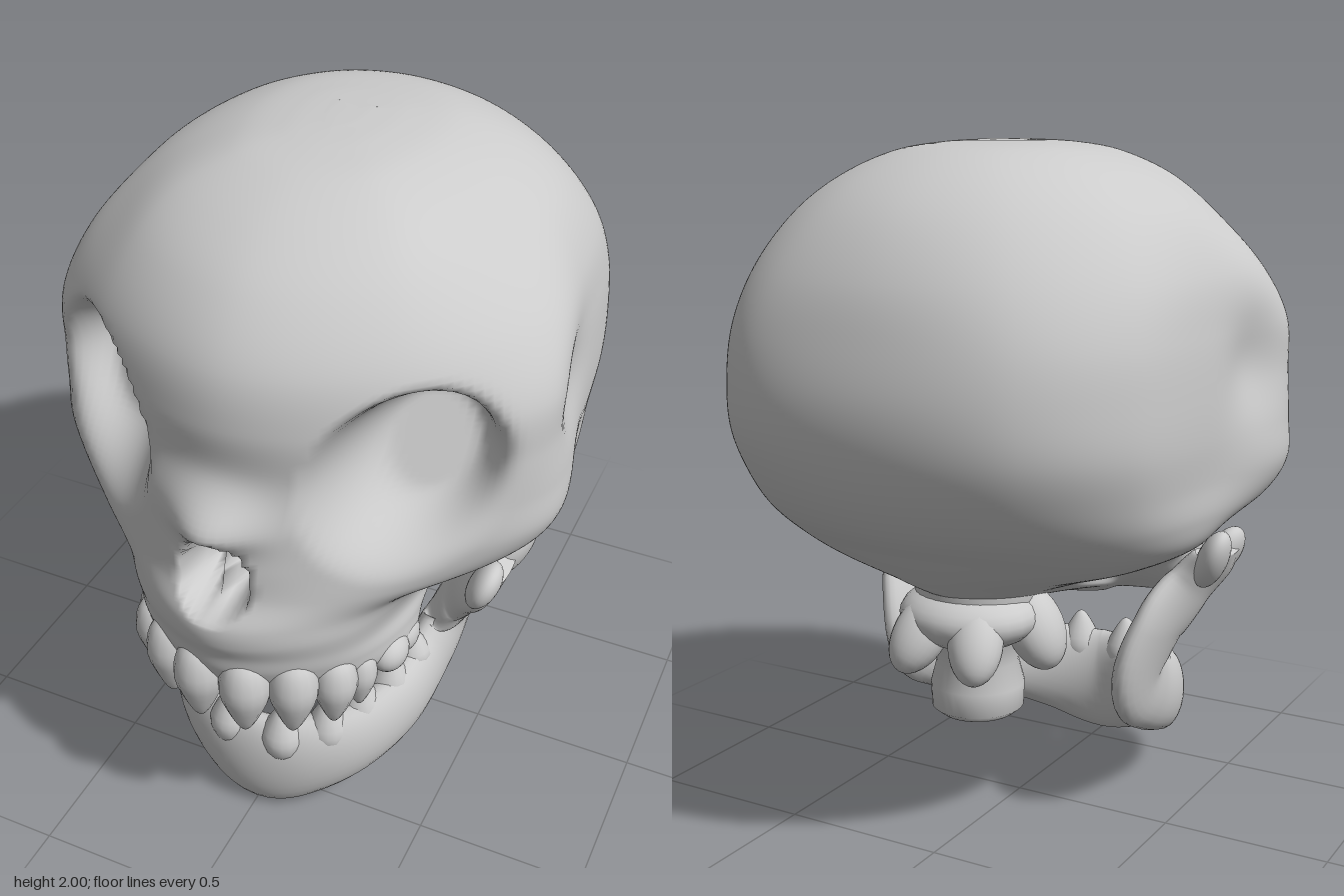
import * as THREE from 'three';

const V = (x, y, z) => new THREE.Vector3(x, y, z);
const bone = new THREE.MeshStandardMaterial({ color: 0xcccccc });
const { smoothstep, lerp, clamp } = THREE.MathUtils;

function add(parent, name, geometry) {
  const mesh = new THREE.Mesh(geometry, bone);
  mesh.name = name;
  parent.add(mesh);
  return mesh;
}

// Closed skin over a list of equal-sized rings, with fan caps at both ends
function loft(rings) {
  const n = rings[0].length, m = rings.length, index = [];
  const points = rings.flat();
  for (const ring of [rings[0], rings[m - 1]]) {
    points.push(ring.reduce((s, p) => s.add(p), V(0, 0, 0)).divideScalar(n));
  }
  for (let k = 0; k < n; k++) {
    const k1 = (k + 1) % n, last = (m - 1) * n;
    for (let i = 0; i < m - 1; i++) {
      const a = i * n + k, b = i * n + k1;
      index.push(a, a + n, b, b, a + n, b + n);
    }
    index.push(m * n, k, k1, m * n + 1, last + k1, last + k);
  }
  const g = new THREE.BufferGeometry().setFromPoints(points);
  g.setIndex(index);
  g.computeVertexNormals();
  return g;
}

// Horizontal sections: y, front z, cheek x z, side x z, rear half-width, back z
const SECTIONS = [
  [2.0, 0.03, 0.02, 0.01, 0.04, -0.03, 0.04, -0.1],
  [1.993, 0.16, 0.1, 0.12, 0.14, 0.02, 0.15, -0.25],
  [1.97, 0.3, 0.19, 0.23, 0.26, 0.05, 0.28, -0.41],
  [1.9, 0.47, 0.3, 0.35, 0.41, 0.1, 0.44, -0.56],
  [1.8, 0.61, 0.36, 0.46, 0.54, 0.14, 0.57, -0.68],
  [1.65, 0.72, 0.4, 0.56, 0.67, 0.2, 0.66, -0.78],
  [1.5, 0.75, 0.41, 0.6, 0.725, 0.27, 0.69, -0.83],
  [1.35, 0.74, 0.41, 0.61, 0.73, 0.28, 0.7, -0.855],
  [1.22, 0.77, 0.39, 0.62, 0.735, 0.28, 0.7, -0.845],
  [1.1, 0.79, 0.37, 0.64, 0.735, 0.28, 0.69, -0.805],
  [1.0, 0.8, 0.35, 0.66, 0.67, 0.28, 0.68, -0.74],
  [0.92, 0.84, 0.32, 0.67, 0.53, 0.25, 0.64, -0.65],
  [0.86, 0.84, 0.315, 0.67, 0.46, 0.25, 0.54, -0.58],
  [0.8, 0.82, 0.31, 0.66, 0.42, 0.26, 0.39, -0.5],
  [0.74, 0.81, 0.31, 0.65, 0.41, 0.32, 0.26, -0.4],
  [0.66, 0.77, 0.31, 0.61, 0.4, 0.36, 0.24, 0.05],
  [0.61, 0.69, 0.26, 0.54, 0.32, 0.38, 0.18, 0.2],
];

// Presses the eye sockets, nose opening and temples into the skull surface
function carve(p) {
  const { x, y, z } = p, ax = Math.abs(x);
  const temple = Math.hypot((z - 0.06) / 0.2, (y - 1.4) / 0.2);
  if (ax > 0.4) p.x -= Math.sign(x) * 0.045 * Math.exp(-2 * temple * temple);
  if (z < 0.2) return p;
  // Eye sockets: crisp on the upper inner rim, softer on the lower outer side
  const dx = ax - 0.45, dy = y - 1.325;
  const eye = Math.hypot((dx - 0.12 * dy) / 0.24, (dy + 0.12 * dx) / 0.29);
  const crisp = clamp(0.4 + 0.9 * (0.7 * dy - 0.8 * dx), 0.2, 0.72);
  const w = 1 - smoothstep(eye, crisp, 1.03);
  const floor = 0.45 - 0.42 * (y - 1.1) - 0.45 * dx;
  if (floor < z) p.z = lerp(z, floor, w);
  // Nose bridge, then a pear-shaped opening with a septum
  const spread = y > 1.22 ? 0.085 : 0.06;
  p.z += 0.075 * Math.exp(-((x / 0.12) ** 2) - ((y - 1.22) / spread) ** 2);
  const half = lerp(0.115, 0.075, clamp((y - 1.0) / 0.18, 0, 1));
  const nose = Math.hypot(x / half, (y - 1.06) / 0.145);
  let depth = 0.17 * (1 - smoothstep(nose, 0.65, 1.0));
  if (y < 1.04) depth *= 1 - 0.6 * Math.exp(-((x / 0.025) ** 2));
  p.z -= depth;
  return p;
}

function skullGeometry() {
  // Rear rails follow an arc from the side to the back, squarest at mid height
  const rear = angle => ([y, , , , , sideZ, width, backZ]) => {
    const power = 0.77 + 0.2 * smoothstep(Math.abs(y - 1.35), 0.1, 0.5);
    const z0 = Math.min(-0.12 + Math.max(0, 0.86 - y) * 1.8, sideZ - 0.06);
    return V(width * Math.cos(angle) ** power, y, z0 + (backZ - z0) * Math.sin(angle) ** power);
  };
  const rails = [
    s => V(0, s[0], s[1]), s => V(s[2], s[0], s[3]), s => V(s[4], s[0], s[5]),
    rear(0), rear(0.52), rear(1.05), s => V(0, s[0], s[7]),
  ].map(rail => new THREE.CatmullRomCurve3(SECTIONS.map(rail)));
  const rings = [], rows = 144, cols = 216;
  for (let i = 0; i <= rows; i++) {
    const half = rails.map(r => r.getPoint(i / rows));
    const mirror = half.slice(1, -1).reverse().map(p => V(-p.x, p.y, p.z));
    const loop = new THREE.CatmullRomCurve3([...half, ...mirror], true);
    rings.push(Array.from({ length: cols }, (_, k) => carve(loop.getPoint(k / cols))));
  }
  return loft(rings);
}

// Jaw stations: centre x y z, half height, half thickness, outward angle
const JAW = [
  [0, 0.18, 0.585, 0.175, 0.065, 0],
  [0.14, 0.21, 0.55, 0.155, 0.07, 0.4],
  [0.26, 0.25, 0.46, 0.135, 0.07, 0.85],
  [0.34, 0.3, 0.31, 0.13, 0.07, 1.25],
  [0.37, 0.37, 0.13, 0.13, 0.065, 1.45],
  [0.39, 0.46, 0.03, 0.15, 0.06, 1.57],
  [0.44, 0.6, 0.05, 0.135, 0.055, 1.57],
  [0.5, 0.71, 0.13, 0.12, 0.05, 1.57],
  [0.56, 0.79, 0.17, 0.135, 0.045, 1.57],
  [0.585, 0.835, 0.175, 0.11, 0.04, 1.57],
];

function jawGeometry() {
  const flip = s => [-s[0], s[1], s[2], s[3], s[4], -s[5]];
  const all = [...JAW.slice(1).reverse().map(flip), ...JAW];
  const path = new THREE.CatmullRomCurve3(all.map(s => V(s[0], s[1], s[2])), false, 'catmullrom');
  const size = new THREE.CatmullRomCurve3(all.map(s => V(s[3], s[4], s[5])), false, 'catmullrom');
  const rings = [], steps = 120, cols = 28;
  for (let i = 0; i <= steps; i++) {
    const c = path.getPoint(i / steps), s = size.getPoint(i / steps);
    const t = path.getTangent(i / steps);
    const n = V(Math.sin(s.z), 0, Math.cos(s.z));
    n.addScaledVector(t, -n.dot(t)).normalize();
    const h = n.clone().cross(t);
    rings.push(Array.from({ length: cols }, (_, k) => {
      const a = (k / cols) * Math.PI * 2;
      return c.clone().addScaledVector(n, s.y * Math.cos(a)).addScaledVector(h, s.x * Math.sin(a));
    }));
  }
  return loft(rings);
}

// Pointed tooth: root at the top, tip at the bottom, unit length and radius
const TOOTH = new THREE.LatheGeometry(new THREE.SplineCurve(
  [[0, -0.5], [0.25, -0.44], [0.62, -0.24], [0.97, 0.04], [0.85, 0.3], [0.5, 0.44], [0, 0.5]]
    .map(p => new THREE.Vector2(...p))).getPoints(16).map(p => p.setX(Math.max(0, p.x))), 16);
const BALL = new THREE.SphereGeometry(1, 24, 16);

// Adds a part and its mirror image
function pair(parent, name, geometry, [x, y, z], [sx, sy, sz], [rx, ry, rz] = [0, 0, 0]) {
  for (const s of [1, -1]) {
    const mesh = add(parent, (s > 0 ? 'left' : 'right') + name, geometry);
    mesh.position.set(s * x, y, z);
    mesh.scale.set(sx, sy, sz);
    mesh.rotation.set(rx, s * ry, s * rz);
  }
}

export function createModel() {
  const model = new THREE.Group();
  model.name = 'skull';
  add(model, 'cranium', skullGeometry());

  // Upper teeth: x, y, z, length, radius
  const upper = new THREE.Group();
  upper.name = 'upperTeeth';
  model.add(upper);
  [[0.07, 0.65, 0.77, 0.28, 0.076], [0.19, 0.645, 0.715, 0.28, 0.074],
    [0.28, 0.635, 0.64, 0.25, 0.066], [0.325, 0.63, 0.57, 0.2, 0.05]]
    .forEach(([x, y, z, l, r]) => pair(upper, 'UpperTooth', TOOTH, [x, y, z], [r, l, r], [-0.06, 0, 0]));
  for (const z of [0.47, 0.39]) pair(upper, 'UpperMolar', BALL, [0.37, 0.665, z], [0.055, 0.06, 0.07]);

  // Lower jaw with its two prongs on each side
  const jaw = new THREE.Group();
  jaw.name = 'lowerJaw';
  model.add(jaw);
  add(jaw, 'jawBone', jawGeometry());
  pair(jaw, 'Condyle', BALL, [0.59, 0.815, 0.085], [0.045, 0.105, 0.07], [-0.45, 0, -0.45]);
  pair(jaw, 'Coronoid', BALL, [0.565, 0.8, 0.25], [0.043, 0.08, 0.075], [0.2, 0, -0.45]);
  [[0.085, 0.315, 0.58, 0.2, 0.07], [0.2, 0.33, 0.51, 0.2, 0.068], [0.265, 0.36, 0.42, 0.19, 0.068],
    [0.315, 0.4, 0.32, 0.18, 0.065], [0.345, 0.44, 0.22, 0.14, 0.06]]
    .forEach(([x, y, z, l, r]) => pair(jaw, 'LowerTooth', TOOTH, [x, y, z], [r, l, r], [Math.PI, 0, 0]));

  // Neck vertebra
  const neck = new THREE.Group();
  neck.name = 'neckVertebra';
  model.add(neck);
  const body = add(neck, 'vertebraBody', new THREE.LatheGeometry(
    [[0, 0.36], [0.11, 0.36], [0.135, 0.38], [0.138, 0.45], [0.12, 0.52], [0.14, 0.6], [0.18, 0.68], [0.18, 0.8]]
      .map(p => new THREE.Vector2(...p)), 32));
  body.position.z = -0.25;
  const arch = add(neck, 'vertebraArch', BALL);
  arch.position.set(0, 0.67, -0.29);
  arch.scale.set(0.21, 0.1, 0.19);
  pair(neck, 'TransverseProcess', BALL, [0.17, 0.63, -0.21], [0.08, 0.13, 0.095], [0, 0, 0.45]);
  pair(neck, 'RearProcess', BALL, [0.09, 0.63, -0.41], [0.08, 0.13, 0.075], [0.6, 0, 0.25]);
  return model;
}
